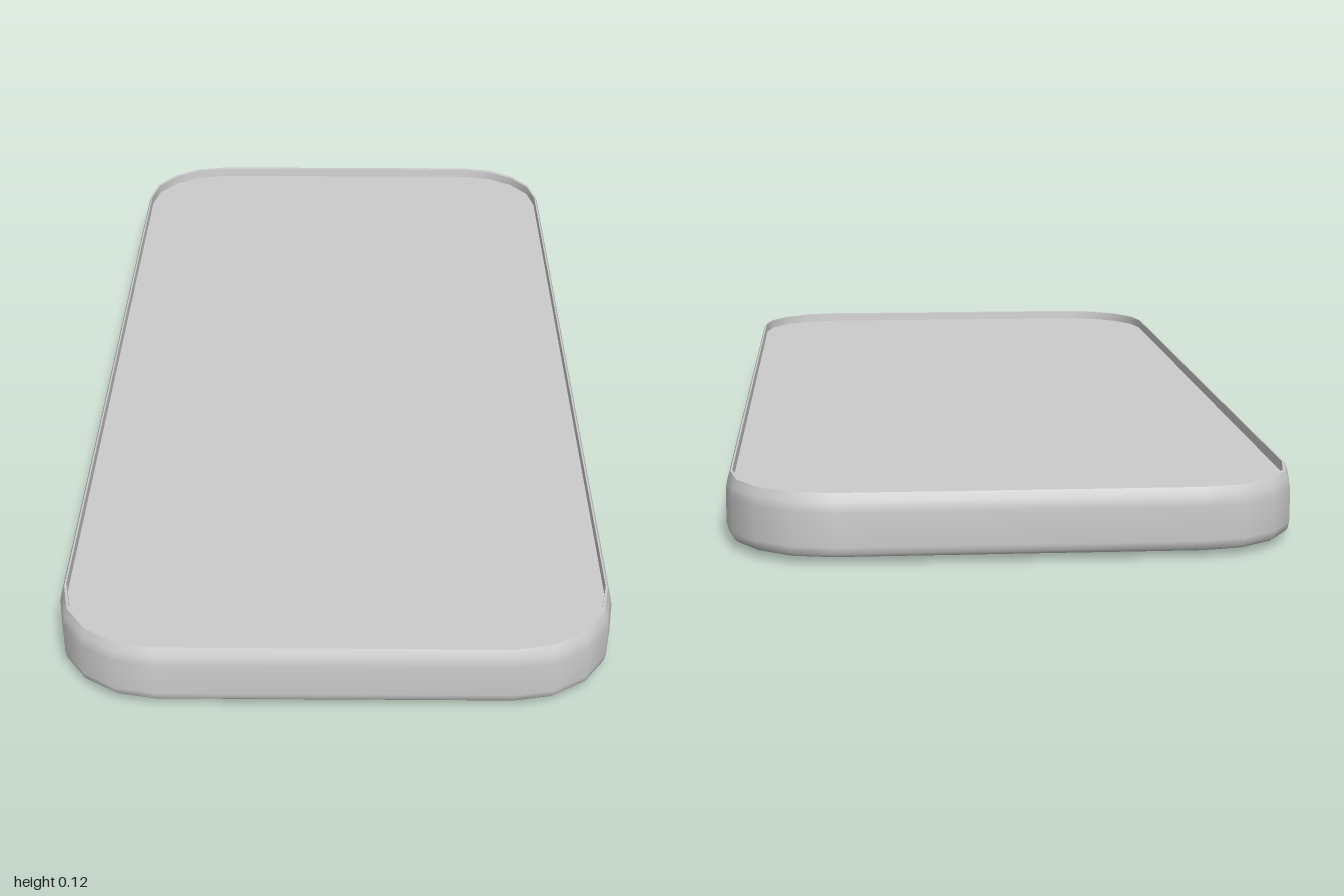
import * as THREE from 'three';

const grey = new THREE.MeshStandardMaterial({ color: 0xcccccc });

// Rounded-rectangle outline as [x, z] points
function outline(hx, hz, r, seg) {
  const pts = [];
  const corners = [[1, 1], [-1, 1], [-1, -1], [1, -1]];
  corners.forEach(([sx, sz], c) => {
    for (let i = 0; i <= seg; i++) {
      const a = (c + i / seg) * Math.PI / 2;
      pts.push(new THREE.Vector2(sx * (hx - r) + r * Math.cos(a), sz * (hz - r) + r * Math.sin(a)));
    }
  });
  return pts;
}

// Wall skinned through rounded-rectangle rings given as [hx, hz, r, y]
function wall(rings, seg) {
  const pos = [], index = [];
  const n = 4 * (seg + 1);
  for (const [hx, hz, r, y] of rings) {
    for (const p of outline(hx, hz, r, seg)) pos.push(p.x, y, p.y);
  }
  for (let j = 0; j < rings.length - 1; j++) {
    for (let i = 0; i < n; i++) {
      const a = j * n + i, b = j * n + (i + 1) % n;
      index.push(a, a + n, b, b, a + n, b + n);
    }
  }
  const g = new THREE.BufferGeometry();
  g.setAttribute('position', new THREE.Float32BufferAttribute(pos, 3));
  g.setIndex(index);
  g.computeVertexNormals();
  return g;
}

export function createModel() {
  const group = new THREE.Group();
  const add = (name, geometry) => {
    const mesh = new THREE.Mesh(geometry, grey);
    mesh.name = name;
    group.add(mesh);
    return mesh;
  };

  const SEG = 4, base = 0.01, top = 0.118, screenY = 0.1;
  const HX = 0.483, HZ = 1, R = 0.18;
  const inset = (dx, dz, y) => [HX - dx, HZ - dz, R - dx, y];

  // Outer casing with softened bottom and tapered top edge
  add('casing', wall([
    inset(0.018, 0.018, base),
    inset(0.009, 0.009, 0.012),
    inset(0.003, 0.003, 0.018),
    inset(0, 0, 0.03),
    inset(0, 0, 0.088),
    inset(0.003, 0.004, 0.104),
    inset(0.008, 0.012, top),
  ], SEG));

  // Thin lip and inner wall around the sunken screen
  const lip = inset(0.011, 0.022, top), screenEdge = inset(0.012, 0.024, screenY);
  add('lip', wall([inset(0.008, 0.012, top), lip], SEG));
  add('screenSurround', wall([lip, screenEdge], SEG));
  const screen = new THREE.Shape(outline(screenEdge[0], screenEdge[1], screenEdge[2], SEG));
  add('screen', new THREE.ShapeGeometry(screen).rotateX(-Math.PI / 2).translate(0, screenY, 0));

  // Back face with an opening for the camera recess
  const camX = -0.005, camZ = 0.733, floorY = 0.02;
  const px = 0.29, pz = 0.105, pr = 0.07, PSEG = 6;
  const back = new THREE.Shape(outline(HX - 0.018, HZ - 0.018, R - 0.018, SEG));
  back.holes.push(new THREE.Path(
    outline(px, pz, pr, PSEG).map((p) => new THREE.Vector2(p.x + camX, p.y + camZ))));
  add('backFace', new THREE.ShapeGeometry(back).rotateX(Math.PI / 2).translate(0, base, 0));

  // Camera recess: side wall and floor
  add('cameraRecessWall', wall([[px, pz, pr, floorY], [px, pz, pr, base]], PSEG))
    .position.set(camX, 0, camZ);
  const floor = new THREE.Shape(outline(px, pz, pr, PSEG));
  add('cameraRecessFloor', new THREE.ShapeGeometry(floor).rotateX(Math.PI / 2))
    .position.set(camX, floorY, camZ);

  // Three round lenses standing proud of the back
  for (let i = -1; i <= 1; i++) {
    add('cameraLens', new THREE.CylinderGeometry(0.067, 0.067, floorY, 32))
      .position.set(camX + i * 0.16, floorY / 2, camZ);
  }

  return group;
}
